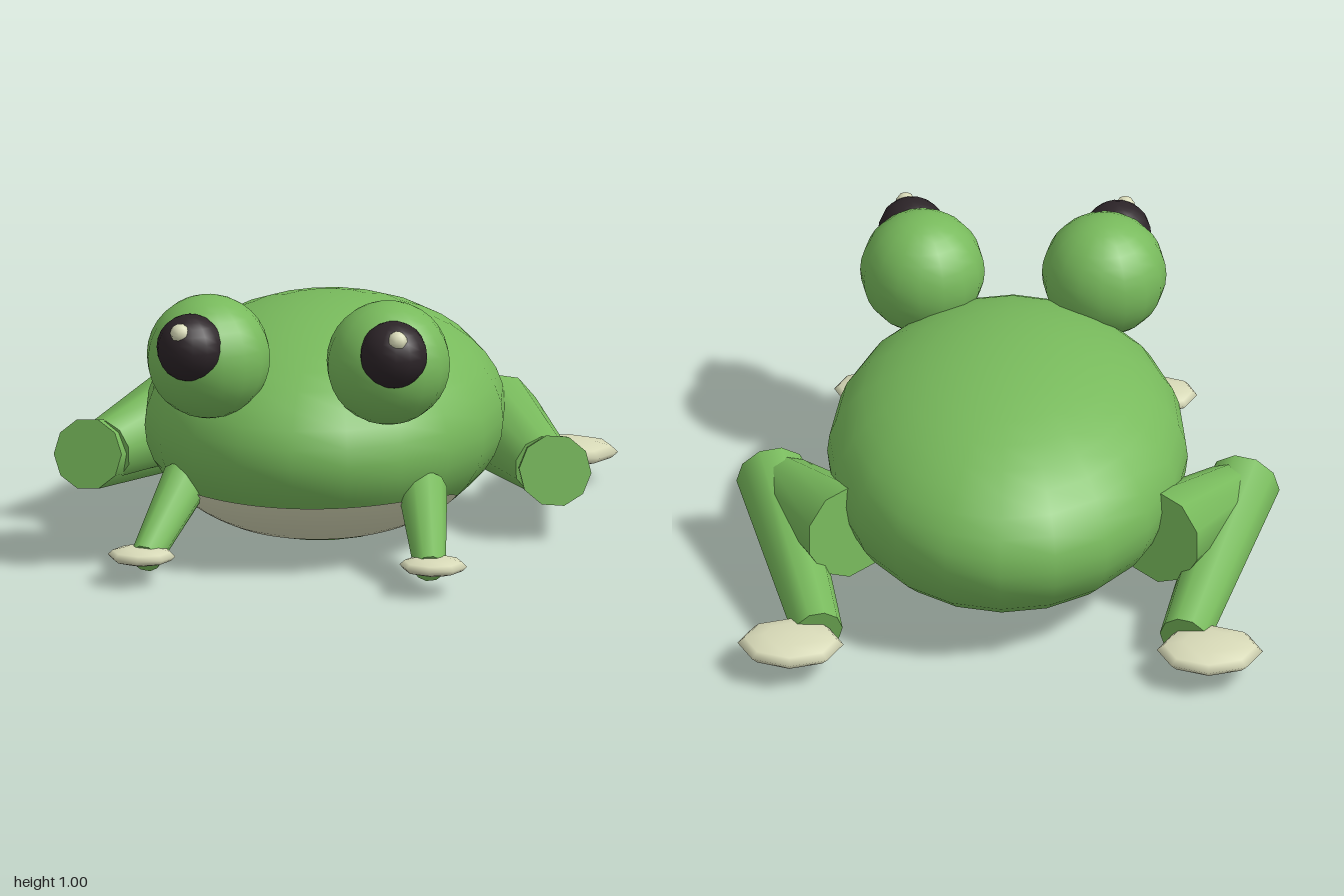
import * as THREE from 'three';

const mat = (name, color) => {
  const m = new THREE.MeshStandardMaterial({ color });
  m.name = name;
  return m;
};

export function createModel() {
  const green = mat('frog green', 0x78ba5c);
  const cream = mat('pale cream', 0xd8dab8);
  const dark = mat('pupil black', 0x2c2428);
  const patchMat = cream;
  const group = new THREE.Group();
  group.name = 'frog';

  const add = (name, geo, material) => {
    const mesh = new THREE.Mesh(geo, material);
    mesh.name = name;
    group.add(mesh);
    return mesh;
  };
  const ball = (name, material, [x, y, z], [rx, ry, rz], w, h) => {
    const mesh = add(name, new THREE.SphereGeometry(1, w, h), material);
    mesh.position.set(x, y, z);
    mesh.scale.set(rx, ry, rz);
    return mesh;
  };
  // Tapered limb between two points
  const limb = (name, from, to, r0, r1) => {
    const a = new THREE.Vector3(...from), b = new THREE.Vector3(...to);
    const dir = b.clone().sub(a);
    const mesh = add(name, new THREE.CylinderGeometry(r1, r0, dir.length(), 10), green);
    mesh.position.copy(a).lerp(b, 0.5);
    mesh.quaternion.setFromUnitVectors(new THREE.Vector3(0, 1, 0), dir.normalize());
  };

  // Body
  const C = [0, 0.427, -0.03], R = [0.645, 0.418, 0.84];
  ball('body', green, C, R, 20, 20);

  // Belly patch: thin band that follows the lower front of the body
  const cols = 32, rows = 8, pos = [], idx = [];
  for (let i = 0; i <= cols; i++) {
    const t = (i / cols) * 2 - 1, phi = t * 1.2;
    const lo = 0.085 + 0.05 * t ** 4, hi = 0.27 - 0.06 * Math.abs(t) ** 5;
    for (let j = 0; j <= rows; j++) {
      const y = lo + (hi - lo) * j / rows;
      const ny = (y - C[1]) / R[1], r = Math.sqrt(1 - ny * ny), k = 1.005;
      pos.push(R[0] * r * Math.sin(phi) * k, C[1] + ny * R[1] * k, C[2] + R[2] * r * Math.cos(phi) * k);
      if (i < cols && j < rows) {
        const a = i * (rows + 1) + j, b = a + rows + 1;
        idx.push(a, b, b + 1, a, b + 1, a + 1);
      }
    }
  }
  const patch = new THREE.BufferGeometry();
  patch.setAttribute('position', new THREE.Float32BufferAttribute(pos, 3));
  patch.setIndex(idx);
  patch.computeVertexNormals();
  add('bellyPatch', patch, patchMat);

  for (const [side, s] of [['left', 1], ['right', -1]]) {
    // Eyes
    ball(side + 'Eye', green, [s * 0.325, 0.787, 0.62], [0.223, 0.223, 0.223], 16, 16);
    ball(side + 'Pupil', dark, [s * 0.367, 0.855, 0.78], [0.122, 0.122, 0.122], 14, 12);
    ball(side + 'EyeGlint', cream, [s * 0.393, 0.925, 0.857], [0.036, 0.036, 0.036], 8, 8);

    // Front legs
    limb(side + 'FrontLeg', [s * 0.43, 0.29, 0.49], [s * 0.515, 0.1, 0.89], 0.088, 0.057);
    ball(side + 'FrontFoot', cream, [s * 0.527, 0.112, 0.89], [0.122, 0.033, 0.108], 8, 6);

    // Hind legs
    limb(side + 'Thigh', [s * 0.55, 0.33, -0.42], [s * 0.79, 0.27, -0.02], 0.175, 0.11);
    limb(side + 'Shank', [s * 0.845, 0.268, 0.055], [s * 0.655, 0.112, -0.75], 0.13, 0.09);
    ball(side + 'HindFoot', cream, [s * 0.75, 0.12, -0.845], [0.19, 0.045, 0.155], 8, 6);
  }
  return group;
}
